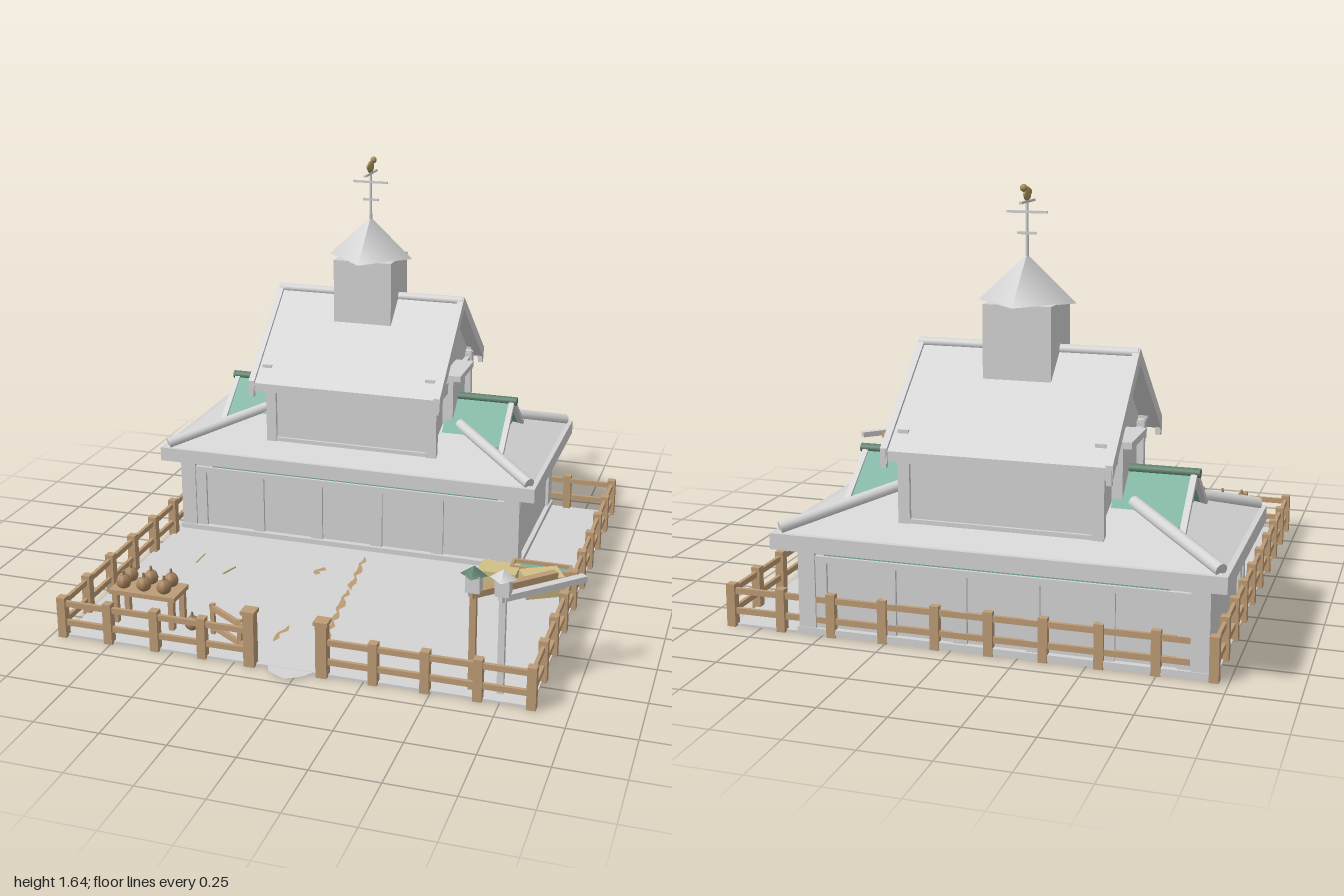
import * as THREE from 'three';

const mat = (name, color, side = THREE.FrontSide) => {
  const m = new THREE.MeshStandardMaterial({ color, side });
  m.name = name;
  return m;
};

export function createModel() {
  const grey = mat('pale grey', 0xd4d4d4, THREE.DoubleSide);
  const green = mat('roof green', 0x78b09c, THREE.DoubleSide);
  const darkGreen = mat('dark green', 0x5c7f6c);
  const wood = mat('tan wood', 0xbd9c76, THREE.DoubleSide);
  const straw = mat('straw', 0xd0bf86, THREE.DoubleSide);
  const pumpkinMat = mat('pumpkin brown', 0xa5835f);
  const gold = mat('old gold', 0xa8935a);

  const root = new THREE.Group();
  root.name = 'farmstead';
  const group = (name) => {
    const g = new THREE.Group();
    g.name = name;
    root.add(g);
    return g;
  };
  const add = (parent, name, geo, m, x = 0, y = 0, z = 0) => {
    const mesh = new THREE.Mesh(geo, m);
    mesh.name = name;
    mesh.position.set(x, y, z);
    parent.add(mesh);
    return mesh;
  };
  // box given by its limits
  const box = (p, name, m, x0, x1, y0, y1, z0, z1) =>
    add(p, name, new THREE.BoxGeometry(x1 - x0, y1 - y0, z1 - z0), m, (x0 + x1) / 2, (y0 + y1) / 2, (z0 + z1) / 2);
  // bar between two points
  const bar = (p, name, m, a, b, w, h = w, round = false) => {
    const A = new THREE.Vector3(...a), B = new THREE.Vector3(...b), len = A.distanceTo(B);
    const geo = round ? new THREE.CylinderGeometry(w, w, len, 12).rotateX(Math.PI / 2) : new THREE.BoxGeometry(w, h, len);
    const mesh = add(p, name, geo, m, ...A.clone().add(B).multiplyScalar(0.5).toArray());
    mesh.lookAt(B);
    return mesh;
  };
  // outline in (z, y) around zc, pushed from x0 to x1
  const alongX = (p, name, m, pts, zc, x0, x1) => {
    const s = new THREE.Shape(pts.map(([z, y]) => new THREE.Vector2(z, y)));
    const geo = new THREE.ExtrudeGeometry(s, { depth: x1 - x0, bevelEnabled: false }).rotateY(Math.PI / 2);
    return add(p, name, geo, m, x0, 0, zc);
  };
  const chevron = (half, apex, eave, t) => [[-half, eave], [-half, eave - t], [0, apex - t], [half, eave - t], [half, eave], [0, apex]];
  // flat outline on the ground in (x, z)
  const patch = (p, name, m, pts, y) => {
    const s = new THREE.Shape(pts.map(([x, z]) => new THREE.Vector2(x, -z)));
    return add(p, name, new THREE.ShapeGeometry(s).rotateX(-Math.PI / 2), m, 0, y, 0);
  };

  // yard
  const yard = group('yard');
  box(yard, 'ground', grey, -0.95, 0.865, 0, 0.008, -0.905, 0.905);
  patch(yard, 'pathEnd', grey, [[-0.12, 0.9], [-0.1, 0.945], [-0.06, 0.965], [-0.03, 0.978], [0, 0.965], [0.035, 0.94], [0.06, 0.9]], 0.007);
  const worn = (x0, z0, x1, z1, w) => {
    const n = Math.max(4, Math.round((z1 - z0) / 0.035)), left = [], right = [];
    for (let i = 0; i <= n; i++) {
      const t = i / n, x = x0 + (x1 - x0) * t + 0.008 * Math.sin(i * 2.2), z = z0 + (z1 - z0) * t;
      const h = w * (i === 0 || i === n ? 0.25 : 0.7 + 0.3 * Math.cos(i * 1.7));
      left.push([x - h, z]);
      right.unshift([x + h, z + 0.01]);
    }
    patch(yard, 'wornPath', wood, [...left, ...right], 0.0095);
  };
  worn(-0.06, -0.1, -0.025, 0.22, 0.014);
  worn(-0.03, 0.22, 0.0, 0.5, 0.016);
  worn(0.0, 0.5, 0.035, 0.78, 0.018);
  worn(-0.19, 0.05, -0.215, 0.12, 0.022);
  worn(-0.15, 0.59, -0.17, 0.72, 0.014);
  [[-0.725, 0.08, -0.725, 0.17], [-0.55, 0.165, -0.575, 0.24], [-0.29, 0.83, -0.21, 0.8]].forEach(([a, b, c, d]) =>
    bar(yard, 'strawStrand', straw, [a, 0.012, b], [c, 0.012, d], 0.006));

  // ground floor
  const house = group('groundFloor');
  box(house, 'plinth', grey, -0.94, 0.595, 0.005, 0.03, -0.918, -0.16);
  box(house, 'walls', grey, -0.915, 0.575, 0.02, 0.36, -0.895, -0.185);
  for (const z of [-0.895, -0.185]) {
    for (let i = 0; i < 6; i++) {
      const x = -0.845 + 0.27 * i;
      box(house, 'wallPost', grey, x - 0.026, x + 0.026, 0.03, 0.29, z - 0.012, z + 0.012);
    }
    box(house, 'wallBeam', grey, -0.915, 0.575, 0.28, 0.305, z - 0.015, z + 0.015);
    box(house, 'greenBand', green, -0.79, 0.49, 0.305, 0.338, z - 0.004, z + 0.004);
    for (const x of [-0.9, 0.555]) box(house, 'cornerPost', grey, x - 0.033, x + 0.033, 0.02, 0.36, z - 0.02, z + 0.02);
  }
  for (const x of [-0.915, 0.575]) {
    box(house, 'sideBeam', grey, x - 0.015, x + 0.015, 0.29, 0.35, -0.9, -0.18);
    for (const z of [-0.87, -0.21]) box(house, 'sidePost', grey, x - 0.013, x + 0.013, 0.02, 0.34, z - 0.035, z + 0.035);
  }

  // hipped skirt roof
  const skirt = group('skirtRoof');
  box(skirt, 'eaves', grey, -1, 0.66, 0.342, 0.402, -0.99, -0.105);
  const lo = [[-0.98, -0.12], [0.64, -0.12], [0.64, -0.97], [-0.98, -0.97]];
  const hi = [[-0.6, -0.44], [0.26, -0.44], [0.26, -0.64], [-0.6, -0.64]];
  const pos = [];
  for (let i = 0; i < 4; i++) {
    const j = (i + 1) % 4, a = [lo[i][0], 0.402, lo[i][1]], b = [lo[j][0], 0.402, lo[j][1]];
    const c = [hi[j][0], 0.525, hi[j][1]], d = [hi[i][0], 0.525, hi[i][1]];
    pos.push(...a, ...b, ...c, ...a, ...c, ...d);
    bar(skirt, 'hipBar', grey, [a[0] * 0.98 + d[0] * 0.02, 0.415, a[2] * 0.97 + d[2] * 0.03], [d[0], 0.53, d[2]], 0.024, 0, true);
  }
  const slopes = new THREE.BufferGeometry();
  slopes.setAttribute('position', new THREE.Float32BufferAttribute(pos, 3));
  slopes.computeVertexNormals();
  add(skirt, 'slopes', slopes, grey);

  // small side gables
  const gables = group('sideGables');
  for (const s of [-1, 1]) {
    const at = (a, b) => [-0.165 + s * a, -0.165 + s * b].sort((p, q) => p - q);
    alongX(gables, 'greenRoof', green, chevron(0.185, 0.63, 0.475, 0.012), -0.535, ...at(0.36, 0.63));
    alongX(gables, 'gableFace', wood, [[-0.2, 0.45], [0.2, 0.45], [0, 0.615]], -0.535, ...at(0.595, 0.602));
    alongX(gables, 'gableTrim', grey, chevron(0.22, 0.637, 0.46, 0.026), -0.535, ...at(0.622, 0.645));
    const [r0, r1] = at(0.36, 0.655);
    bar(gables, 'ridge', darkGreen, [r0, 0.625, -0.535], [r1, 0.625, -0.535], 0.018, 0, true);
    // box window above the gable
    const [w0, w1] = at(0.35, 0.395), [l0, l1] = at(0.35, 0.43);
    box(gables, 'loftDoor', grey, w0, w1, 0.5, 0.725, -0.645, -0.435);
    box(gables, 'loftLintel', grey, l0, l1, 0.725, 0.75, -0.66, -0.42);
  }

  // upper floor
  const upper = group('upperFloor');
  box(upper, 'upperWalls', grey, -0.52, 0.185, 0.4, 0.74, -0.845, -0.24);
  alongX(upper, 'gableWall', grey, [[-0.305, 0.72], [0.305, 0.72], [0.305, 0.765], [0, 1.03], [-0.305, 0.765]], -0.5425, -0.52, 0.185);
  for (const z of [-0.845, -0.24]) {
    for (const x of [-0.525, 0.19])
      box(upper, 'cornerPost', grey, x - 0.022, x + 0.022, 0.42, 0.74, z - 0.015, z + 0.015);
    box(upper, 'topBeam', grey, -0.55, 0.215, 0.665, 0.735, z - 0.018, z + 0.018);
    box(upper, 'bottomBeam', grey, -0.54, 0.2, 0.43, 0.46, z - 0.012, z + 0.012);
  }
  for (const x of [-0.525, 0.19]) box(upper, 'sideBeam', grey, x - 0.018, x + 0.018, 0.665, 0.715, -0.86, -0.225);

  // main roof
  const roof = group('mainRoof');
  alongX(roof, 'roofSlopes', grey, chevron(0.39, 1.055, 0.725, 0.035), -0.5425, -0.575, 0.23);
  for (const x of [-0.595, 0.22]) {
    alongX(roof, 'bargeboard', grey, chevron(0.395, 1.068, 0.735, 0.055), -0.5425, x, x + 0.026);
    for (const z of [-0.93, -0.155]) box(roof, 'eaveDrop', grey, x + 0.003, x + 0.023, 0.665, 0.735, z - 0.01, z + 0.01);
  }
  bar(roof, 'ridge', grey, [-0.59, 1.05, -0.5425], [0.242, 1.05, -0.5425], 0.019, 0, true);
  for (const x of [-0.535, 0.185]) for (const z of [-0.865, -0.22])
    box(roof, 'roofPeg', grey, x - 0.02, x + 0.02, 0.74, 0.79, z - 0.006, z + 0.006);

  // cupola and weathervane
  const cupola = group('cupola');
  box(cupola, 'cupolaBox', grey, -0.3, -0.045, 0.92, 1.22, -0.667, -0.417);
  add(cupola, 'cupolaRoof', new THREE.ConeGeometry(0.185, 0.172, 4), grey, -0.173, 1.304, -0.542);
  const vane = group('weathervane');
  add(vane, 'pole', new THREE.CylinderGeometry(0.005, 0.007, 0.22, 8), grey, -0.173, 1.48, -0.542);
  box(vane, 'crossBar', grey, -0.25, -0.097, 1.536, 1.545, -0.547, -0.537);
  box(vane, 'lowerBar', grey, -0.207, -0.137, 1.46, 1.47, -0.547, -0.537);
  box(vane, 'vaneBar', grey, -0.178, -0.168, 1.573, 1.582, -0.622, -0.457);
  add(vane, 'birdBody', new THREE.SphereGeometry(1, 12, 8).scale(0.011, 0.026, 0.037), gold, -0.173, 1.605, -0.54);
  add(vane, 'birdHead', new THREE.SphereGeometry(0.014, 10, 8), gold, -0.173, 1.628, -0.583);
  add(vane, 'birdTail', new THREE.SphereGeometry(1, 8, 6).scale(0.006, 0.012, 0.016), gold, -0.173, 1.61, -0.507);

  // fence
  const fence = group('fence');
  const run = (a, b, n, skipLast = false) => {
    for (let i = 0; i <= n - (skipLast ? 1 : 0); i++) {
      const x = a[0] + (b[0] - a[0]) * i / n, z = a[1] + (b[1] - a[1]) * i / n;
      box(fence, 'fencePost', wood, x - 0.017, x + 0.017, 0, 0.165, z - 0.017, z + 0.017);
    }
    for (const y of [0.06, 0.138]) bar(fence, 'fenceRail', wood, [a[0], y, a[1]], [b[0], y, b[1]], 0.014, 0.022);
  };
  run([-0.95, 0.905], [-0.185, 0.905], 4, true);
  run([0.865, 0.905], [0.095, 0.905], 4, true);
  run([0.865, 0.905], [0.865, -0.905], 9);
  run([-0.95, 0.905], [-0.95, -0.905], 9);
  run([-0.95, -0.905], [0.865, -0.905], 9);
  for (const x of [-0.185, 0.095]) {
    box(fence, 'gatePost', wood, x - 0.021, x + 0.021, 0, 0.215, 0.884, 0.926);
    box(fence, 'gatePostCap', wood, x - 0.027, x + 0.027, 0.21, 0.225, 0.878, 0.932);
  }
  for (const y of [0.06, 0.138]) bar(fence, 'gateRail', wood, [-0.19, y, 0.9], [-0.4, y, 0.765], 0.014, 0.022);
  for (const t of [0.25, 0.95])
    bar(fence, 'gateUpright', wood, [-0.19 - 0.21 * t, 0.03, 0.9 - 0.135 * t], [-0.19 - 0.21 * t, 0.155, 0.9 - 0.135 * t], 0.016);

  // pumpkin stand
  const stand = group('pumpkinStand');
  box(stand, 'tableTop', wood, -0.825, -0.55, 0.13, 0.148, 0.632, 0.767);
  for (const x of [-0.805, -0.57]) for (const z of [0.65, 0.75])
    box(stand, 'tableLeg', wood, x - 0.011, x + 0.011, 0, 0.13, z - 0.011, z + 0.011);
  const pumpkin = (x, y, z) => {
    const geo = new THREE.SphereGeometry(0.028, 20, 10), p = geo.attributes.position;
    for (let i = 0; i < p.count; i++) {
      const k = 1 + 0.06 * Math.cos(5 * Math.atan2(p.getZ(i), p.getX(i)));
      p.setXYZ(i, p.getX(i) * k, p.getY(i) * 1.05, p.getZ(i) * k);
    }
    geo.computeVertexNormals();
    add(stand, 'pumpkin', geo, pumpkinMat, x, y, z);
    add(stand, 'pumpkinStem', new THREE.CylinderGeometry(0.004, 0.007, 0.022, 6), pumpkinMat, x, y + 0.036, z);
  };
  for (const x of [-0.775, -0.69, -0.605]) for (const z of [0.67, 0.735]) pumpkin(x, 0.176, z);
  pumpkin(-0.495, 0.037, 0.73);

  // hay bales and trough
  const hay = group('hayAndTrough');
  box(hay, 'hayBale', straw, 0.465, 0.625, 0.008, 0.09, -0.055, 0.055);
  const bale = box(hay, 'leaningBale', straw, 0.645, 0.805, 0.012, 0.098, -0.035, 0.075);
  bale.rotation.y = 0.5;
  box(hay, 'troughFill', green, 0.595, 0.82, 0.01, 0.08, -0.085, -0.03);
  for (const z of [-0.09, -0.024]) box(hay, 'troughSide', wood, 0.585, 0.83, 0.008, 0.095, z - 0.006, z + 0.006);
  for (const x of [0.59, 0.825]) box(hay, 'troughEnd', wood, x - 0.006, x + 0.006, 0.008, 0.095, -0.09, -0.024);

  // lantern posts with long arms
  const lamps = group('lanternPosts');
  for (const [x, post, cap] of [[0.635, wood, darkGreen], [0.74, grey, grey]]) {
    box(lamps, 'lampPost', post, x - 0.012, x + 0.012, 0, 0.4, 0.833, 0.857);
    bar(lamps, 'lampArm', post, [x - 0.01, 0.38, 0.855], [x + 0.245, 0.38, 0.605], 0.03, 0.024);
    box(lamps, 'lantern', grey, x - 0.026, x + 0.026, 0.392, 0.455, 0.819, 0.871);
    add(lamps, 'lanternCap', new THREE.ConeGeometry(0.05, 0.034, 4), cap, x, 0.47, 0.845);
  }
  return root;
}
